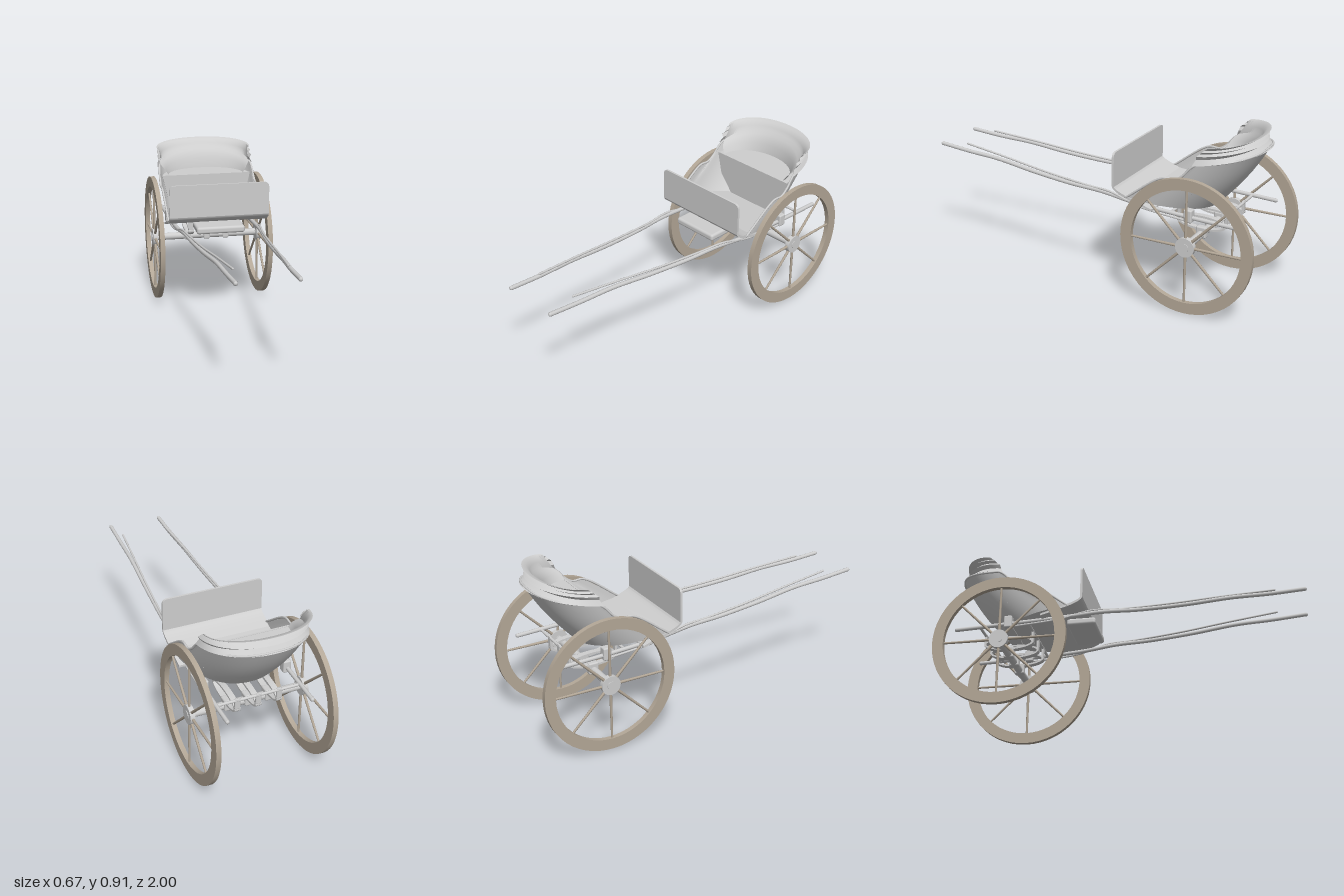
import * as THREE from 'three';
import { toCreasedNormals } from 'three/addons/utils/BufferGeometryUtils.js';
import { RoundedBoxGeometry } from 'three/addons/geometries/RoundedBoxGeometry.js';

const grey = new THREE.MeshStandardMaterial({ color: 0xcecece, side: THREE.DoubleSide });
grey.name = 'paleGrey';
const tan = new THREE.MeshStandardMaterial({ color: 0xb3a797 });
tan.name = 'wheelTan';

const V = (x, y, z) => new THREE.Vector3(x, y, z);
const AXLE_Y = 0.366, AXLE_Z = -0.632;

function add(parent, name, geo, mat, x = 0, y = 0, z = 0) {
  const m = new THREE.Mesh(geo, mat);
  m.name = name;
  m.position.set(x, y, z);
  parent.add(m);
  return m;
}

// Surface through rows of points; point(row, u) with u from 0 to 1
function loft(rows, segs, point, crease) {
  const pos = [], idx = [];
  for (let r = 0; r < rows; r++)
    for (let i = 0; i <= segs; i++) pos.push(...point(r, i / segs).toArray());
  for (let r = 0; r < rows - 1; r++)
    for (let i = 0; i < segs; i++) {
      const a = r * (segs + 1) + i, b = a + segs + 1;
      idx.push(a, a + 1, b, a + 1, b + 1, b);
    }
  const g = new THREE.BufferGeometry();
  g.setAttribute('position', new THREE.Float32BufferAttribute(pos, 3));
  g.setIndex(idx);
  return toCreasedNormals(g, crease);
}

// Half-ellipse in plan; powers below 1 square it off
function plan(u, power = 1) {
  const c = Math.cos(u * Math.PI), s = Math.max(0, Math.sin(u * Math.PI));
  return [Math.sign(c) * Math.abs(c) ** power, s ** power];
}

// Upper and lower edges of the tub
function tubTop(u) {
  const [c, s] = plan(u, 0.75);
  const y = 0.70 + 0.09 * THREE.MathUtils.smoothstep(s, 0.15, 0.42) + 0.055 * s * s;
  return V(0.285 * c, y, -0.48 - 0.445 * s);
}
function tubBottom(u) {
  const [c, s] = plan(u, 0.9);
  return V(0.28 * c, 0.512 + 0.043 * (1 - s), -0.27 - 0.41 * s);
}

function rod(parent, name, pts, r, segs = 40) {
  const curve = new THREE.CatmullRomCurve3(pts);
  add(parent, name, new THREE.TubeGeometry(curve, segs, r, 8), grey);
  for (const p of [pts[0], pts[pts.length - 1]])
    add(parent, name + 'End', new THREE.SphereGeometry(r, 8, 6), grey, p.x, p.y, p.z);
}

function bar(parent, name, x0, x1, r, y, z, sides = 16) {
  const g = new THREE.CylinderGeometry(r, r, x1 - x0, sides).rotateZ(Math.PI / 2);
  add(parent, name, g, grey, (x0 + x1) / 2, y, z);
}

function wheel(side) {
  const g = new THREE.Group();
  g.name = side > 0 ? 'leftWheel' : 'rightWheel';
  g.position.set(side * 0.3165, AXLE_Y, AXLE_Z);
  const ring = new THREE.Shape().absarc(0, 0, 0.366, 0, Math.PI * 2);
  ring.holes.push(new THREE.Path().absarc(0, 0, 0.306, 0, Math.PI * 2, true));
  const rim = new THREE.ExtrudeGeometry(ring, { depth: 0.027, bevelEnabled: false, curveSegments: 28 });
  rim.translate(0, 0, -0.0135).rotateY(Math.PI / 2);
  add(g, 'rim', toCreasedNormals(rim, 0.5), tan);
  for (let i = 0; i < 8; i++) {
    const s = new THREE.CylinderGeometry(0.006, 0.008, 0.28, 8).translate(0, 0.175, 0);
    add(g, 'spoke', s, tan).rotation.x = i * Math.PI / 4;
  }
  bar(g, 'hub', -0.0135, 0.0135, 0.052, 0, 0, 24);
  bar(g, 'hubCap', -0.017, 0.017, 0.023, 0, 0);
  return g;
}

export function createModel() {
  const cart = new THREE.Group();
  cart.name = 'twoWheeledCart';

  // Wheels and axle
  cart.add(wheel(1), wheel(-1));
  bar(cart, 'axle', -0.305, 0.305, 0.021, AXLE_Y, AXLE_Z);

  // Leaf springs clamped to the axle
  for (const x of [-0.115, 0, 0.115]) {
    const lens = new THREE.Shape().absellipse(0, 0, 0.14, 0.04, 0, Math.PI * 2);
    lens.holes.push(new THREE.Path().absellipse(0, 0, 0.128, 0.029, 0, Math.PI * 2, true));
    const spring = new THREE.ExtrudeGeometry(lens, { depth: 0.032, bevelEnabled: false, curveSegments: 20 });
    spring.translate(0, 0, -0.016).rotateY(Math.PI / 2);
    add(cart, 'leafSpring', toCreasedNormals(spring, 0.6), grey, x, 0.43, AXLE_Z);
    add(cart, 'axleClamp', new RoundedBoxGeometry(0.038, 0.064, 0.056, 2, 0.008), grey, x, 0.376, AXLE_Z);
    for (const z of [-0.5, -0.765])
      add(cart, 'springHanger', new RoundedBoxGeometry(0.03, 0.06, 0.014, 1, 0.004), grey, x, 0.465, z);
  }
  bar(cart, 'frontCrossbar', -0.23, 0.23, 0.008, 0.495, -0.5);
  bar(cart, 'rearCrossbar', -0.23, 0.23, 0.008, 0.485, -0.765);

  // Shafts, straps and brackets on both sides
  for (const s of [1, -1]) {
    rod(cart, 'shaft', [
      V(s * 0.155, 0.607, 0.99), V(s * 0.16, 0.592, 0.8), V(s * 0.168, 0.583, 0.6),
      V(s * 0.183, 0.555, 0.35), V(s * 0.2, 0.537, 0.1), V(s * 0.215, 0.533, -0.1),
      V(s * 0.228, 0.512, -0.3), V(s * 0.232, 0.495, -0.6), V(s * 0.23, 0.483, -0.9)
    ], 0.0115, 60);
    rod(cart, 'shaftStrap', [
      V(s * 0.135, 0.625, 0.83), V(s * 0.16, 0.598, 0.55), V(s * 0.183, 0.568, 0.28),
      V(s * 0.205, 0.547, 0), V(s * 0.222, 0.543, -0.15), V(s * 0.235, 0.5, -0.32), V(s * 0.237, 0.474, -0.6)
    ], 0.006);
    add(cart, 'shaftBlock', new RoundedBoxGeometry(0.045, 0.07, 0.045, 2, 0.008), grey, s * 0.23, 0.503, -0.608);
  }

  // Tub: closed floor, then walls bulging out to the rim
  const body = new THREE.Group();
  body.name = 'body';
  cart.add(body);
  add(body, 'tub', loft(9, 64, (r, u) => {
    const low = tubBottom(u);
    if (r === 0) return low.setX(0);
    const t = (r - 1) / 7;
    const p = low.lerp(tubTop(u), t);
    p.z -= 0.02 * Math.sin(t * Math.PI) * plan(u)[1];
    return p;
  }, 0.7), grey);
  const rimPts = [tubBottom(0)];
  for (let i = 0; i <= 40; i++) rimPts.push(tubTop(i / 40));
  rimPts.push(tubBottom(1));
  rod(body, 'tubRim', rimPts, 0.006, 120);

  // Folded hood with pleats outside and a padded lining down to the seat
  // Each row: half width, end z, back z, end y, back y
  const pleats = [
    [0.287, -0.64, -0.938, 0.79, 0.842], [0.272, -0.655, -0.885, 0.822, 0.855],
    [0.283, -0.66, -0.91, 0.842, 0.872], [0.272, -0.675, -0.885, 0.855, 0.882],
    [0.283, -0.69, -0.905, 0.868, 0.893], [0.274, -0.70, -0.888, 0.878, 0.90],
    [0.281, -0.72, -0.91, 0.893, 0.914], [0.272, -0.715, -0.885, 0.888, 0.907],
    [0.264, -0.69, -0.868, 0.85, 0.885], [0.268, -0.66, -0.855, 0.805, 0.866],
    [0.255, -0.64, -0.835, 0.79, 0.85], [0.24, -0.625, -0.81, 0.77, 0.80],
    [0.225, -0.62, -0.80, 0.745, 0.745]
  ];
  add(body, 'foldedHood', loft(pleats.length, 48, (r, u) => {
    const [w, z0, z1, y0, y1] = pleats[r], [c, s] = plan(u, 0.95);
    return V(w * c, y0 + (y1 - y0) * s, z0 + (z1 - z0) * s);
  }, 0.8), grey);

  // Seat and its front panel
  add(body, 'seat', loft(2, 32, (r, u) => {
    const [c, s] = plan(u);
    return V(r ? 0.26 * c : 0, 0.745, -0.61 - 0.205 * s);
  }, 0.5), grey);
  const riser = new THREE.Shape([[-0.15, 0.515], [0.15, 0.515], [0.235, 0.62], [0.265, 0.747],
    [-0.265, 0.747], [-0.235, 0.62]].map(p => new THREE.Vector2(...p)));
  add(body, 'seatFront', new THREE.ExtrudeGeometry(riser, { depth: 0.01, bevelEnabled: false }), grey, 0, 0, -0.62);

  // Dashboard with rounded upper corners, curving back into the floor
  const w = 0.285, top = 0.785, rad = 0.03;
  const dash = new THREE.Shape().moveTo(-w, 0.6).lineTo(w, 0.6).lineTo(w, top - rad)
    .quadraticCurveTo(w, top, w - rad, top).lineTo(rad - w, top).quadraticCurveTo(-w, top, -w, top - rad);
  const dashGeo = new THREE.ExtrudeGeometry(dash, { depth: 0.012, bevelEnabled: false });
  add(body, 'dashboard', toCreasedNormals(dashGeo, 0.6), grey, 0, 0, -0.202);
  const toe = new THREE.Shape().moveTo(0.19, 0.6).quadraticCurveTo(0.195, 0.575, 0.27, 0.55)
    .lineTo(0.42, 0.505).lineTo(0.42, 0.517).lineTo(0.275, 0.562).quadraticCurveTo(0.207, 0.585, 0.202, 0.6);
  const toeGeo = new THREE.ExtrudeGeometry(toe, { depth: 0.568, bevelEnabled: false });
  toeGeo.translate(0, 0, -0.284).rotateY(Math.PI / 2);
  add(body, 'toeBoard', toCreasedNormals(toeGeo, 0.6), grey);

  // Step below the dashboard
  add(cart, 'step', new RoundedBoxGeometry(0.276, 0.04, 0.16, 3, 0.014), grey, 0, 0.528, -0.228);
  return cart;
}
